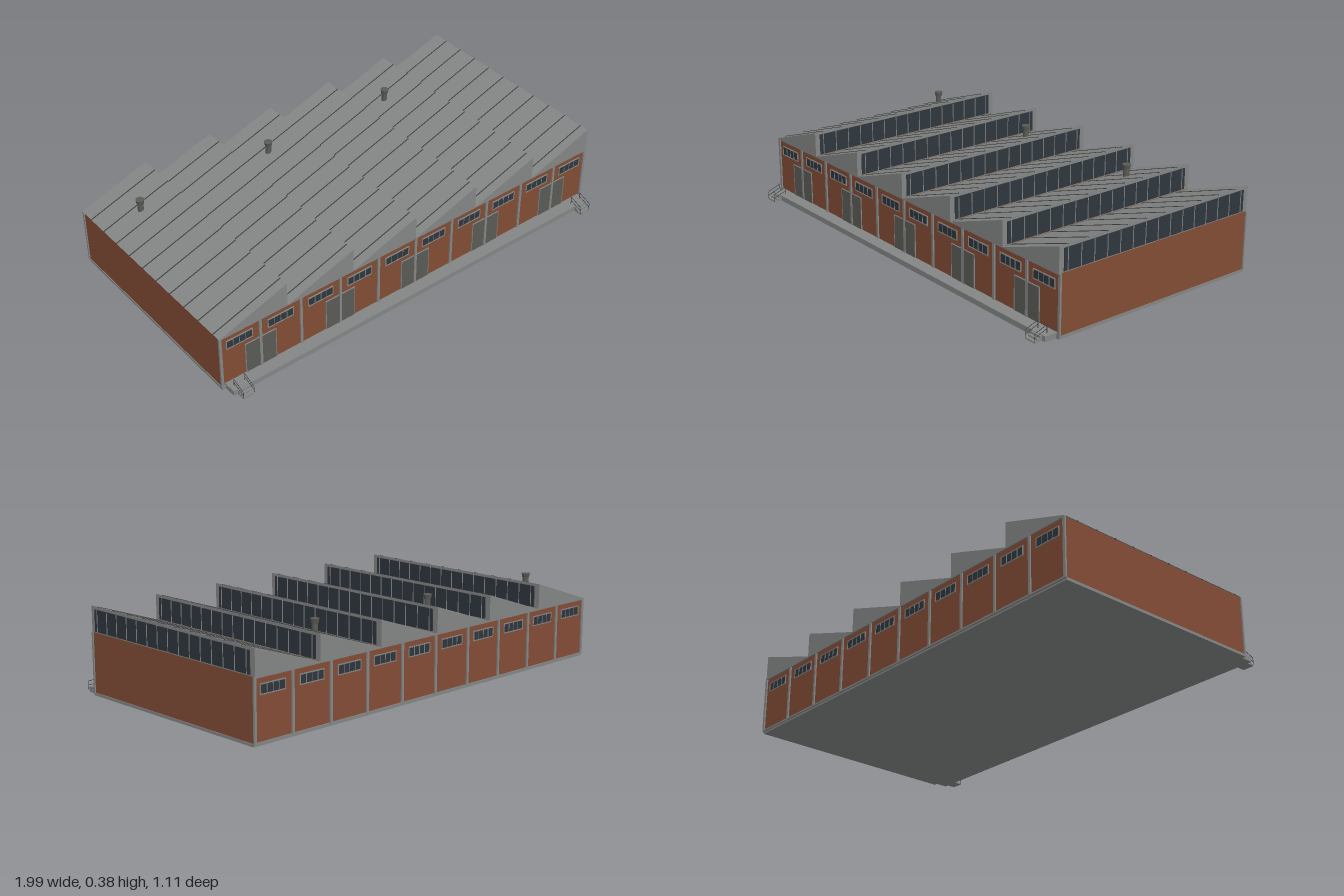
import * as THREE from 'three';

const mat = (name, color) => {
  const m = new THREE.MeshStandardMaterial({ color });
  m.name = name;
  return m;
};

export function createModel() {
  const concrete = mat('concrete grey', 0x848685);
  const brick = mat('brick brown', 0x824c35);
  const glass = mat('dark glass', 0x2e363d);
  const doorGrey = mat('door grey', 0x5a5b56);
  const seamDark = mat('seam dark', 0x3e4142);

  const root = new THREE.Group();
  root.name = 'factoryHall';
  const group = (name, parent = root) => {
    const g = new THREE.Group();
    g.name = name;
    parent.add(g);
    return g;
  };
  // Box given by its limits on each axis
  const box = (parent, name, m, [x0, x1], [y0, y1], [z0, z1]) => {
    const mesh = new THREE.Mesh(new THREE.BoxGeometry(x1 - x0, y1 - y0, z1 - z0), m);
    mesh.position.set((x0 + x1) / 2, (y0 + y1) / 2, (z0 + z1) / 2);
    mesh.name = name;
    parent.add(mesh);
    return mesh;
  };

  const FRONT = 0.455, BACK = -0.547, EAVE = 0.27, RIDGE = 0.381;

  // Foundation and brick body
  box(root, 'foundation', concrete, [-0.995, 0.995], [0, 0.012], [BACK + 0.002, 0.46]);
  box(root, 'walls', brick, [-0.992, 0.992], [0.012, EAVE], [BACK, FRONT]);

  // Long facades: posts, eave beam and a window in each of ten bays
  for (const [side, z, s] of [['front', FRONT, 1], ['back', BACK, -1]]) {
    const facade = group(side + 'Facade');
    const layer = d => s > 0 ? [z - 0.002, z + d] : [z - d, z + 0.002];
    box(facade, 'eaveBeam', concrete, [-0.997, 0.997], [0.264, EAVE], layer(0.006));
    box(facade, 'plinth', concrete, [-0.997, 0.997], [0.008, 0.016], layer(0.005));
    for (let i = 0; i <= 10; i++) {
      const x = THREE.MathUtils.clamp(-1 + i * 0.2, -0.991, 0.991);
      box(facade, 'post', concrete, [x - 0.006, x + 0.006], [0.012, EAVE], layer(0.006));
    }
    for (let i = 0; i < 10; i++) {
      const x = -0.9 + i * 0.2, win = group('window', facade);
      box(win, 'pane', glass, [x - 0.06, x + 0.06], [0.2, 0.236], layer(0.002));
      for (const y of [0.198, 0.238])
        box(win, 'frameRail', concrete, [x - 0.064, x + 0.064], [y - 0.002, y + 0.002], layer(0.004));
      for (const dx of [-0.062, -0.03, 0, 0.03, 0.062]) {
        const w = Math.abs(dx) > 0.05 ? 0.002 : 0.001;
        box(win, 'mullion', concrete, [x + dx - w, x + dx + w], [0.198, 0.238], layer(0.004));
      }
    }
  }

  // Loading doors on the front, one leaf either side of a post
  for (let i = 0; i < 5; i++) {
    const x = -0.8 + i * 0.4, door = group('loadingDoor');
    for (const s of [-1, 1]) {
      const a = x + s * 0.006, b = x + s * 0.074;
      box(door, 'leaf', doorGrey, [Math.min(a, b), Math.max(a, b)], [0.02, 0.172], [FRONT - 0.002, FRONT + 0.003]);
      box(door, 'jamb', concrete, [b - 0.0015, b + 0.0015], [0.02, 0.174], [FRONT - 0.002, FRONT + 0.004]);
    }
    box(door, 'lintel', concrete, [x - 0.075, x + 0.075], [0.171, 0.174], [FRONT - 0.002, FRONT + 0.004]);
  }

  // Saw-tooth roof: wedge, glazed upright face and standing seams
  const PITCH = 0.332, Z0 = -0.553, Z1 = 0.463;
  const run = PITCH - 0.004, rise = RIDGE - EAVE, slope = Math.atan2(rise, run);
  for (let i = 0; i < 6; i++) {
    const tooth = group('roofTooth');
    tooth.position.set(-0.997 + i * PITCH, EAVE, 0);
    const profile = new THREE.Shape([[0, 0], [run, 0], [run, rise]].map(p => new THREE.Vector2(...p)));
    const wedge = new THREE.Mesh(
      new THREE.ExtrudeGeometry(profile, { depth: Z1 - Z0, bevelEnabled: false }), concrete);
    wedge.position.z = Z0;
    wedge.name = 'wedge';
    tooth.add(wedge);
    box(tooth, 'glazing', glass, [run - 0.002, run + 0.003], [0.005, 0.099], [-0.527, 0.44]);
    for (let k = 0; k < 15; k++) {
      const z = -0.509 + k * 0.0665;
      box(tooth, 'mullion', concrete, [run, run + 0.005], [0.005, 0.099], [z - 0.0015, z + 0.0015]);
    }
    for (let k = 0; k < 10; k++) {
      const seam = new THREE.Mesh(new THREE.BoxGeometry(Math.hypot(run, rise), 0.004, 0.004), seamDark);
      seam.position.set(run / 2, rise / 2, -0.48 + k * 0.1);
      seam.rotation.z = slope;
      seam.name = 'seam';
      tooth.add(seam);
    }
  }

  // Roof vents
  for (const x of [-0.83, -0.168, 0.494]) {
    const vent = group('vent');
    vent.position.set(x, 0, -0.347);
    for (const [name, r, y0, y1] of [['pipe', 0.013, 0.31, 0.362], ['cap', 0.019, 0.36, 0.38]]) {
      const part = new THREE.Mesh(new THREE.CylinderGeometry(r, name === 'cap' ? r - 0.004 : r, y1 - y0, 16), doorGrey);
      part.position.y = (y0 + y1) / 2;
      part.name = name;
      vent.add(part);
    }
  }

  // Loading dock with steps and handrails at both ends
  box(root, 'dock', concrete, [-0.978, 0.978], [0, 0.024], [FRONT, 0.515]);
  const bar = (parent, name, a, b) => {
    const path = new THREE.LineCurve3(new THREE.Vector3(...a), new THREE.Vector3(...b));
    const mesh = new THREE.Mesh(new THREE.TubeGeometry(path, 1, 0.0013, 6), seamDark);
    mesh.name = name;
    parent.add(mesh);
  };
  for (const s of [-1, 1]) {
    const x = s * 0.932, steps = group('steps');
    [[0.022, 0.525], [0.013, 0.538], [0.006, 0.553]].forEach(([h, z]) =>
      box(steps, 'step', concrete, [x - 0.027, x + 0.027], [0, h], [0.51, z]));
    for (const rx of [x - 0.026, x + 0.026]) {
      bar(steps, 'lowerPost', [rx, 0, 0.552], [rx, 0.036, 0.552]);
      bar(steps, 'upperPost', [rx, 0.02, 0.489], [rx, 0.06, 0.489]);
      bar(steps, 'handrail', [rx, 0.036, 0.553], [rx, 0.06, 0.488]);
      bar(steps, 'midRail', [rx, 0.018, 0.553], [rx, 0.042, 0.488]);
    }
  }
  return root;
}
